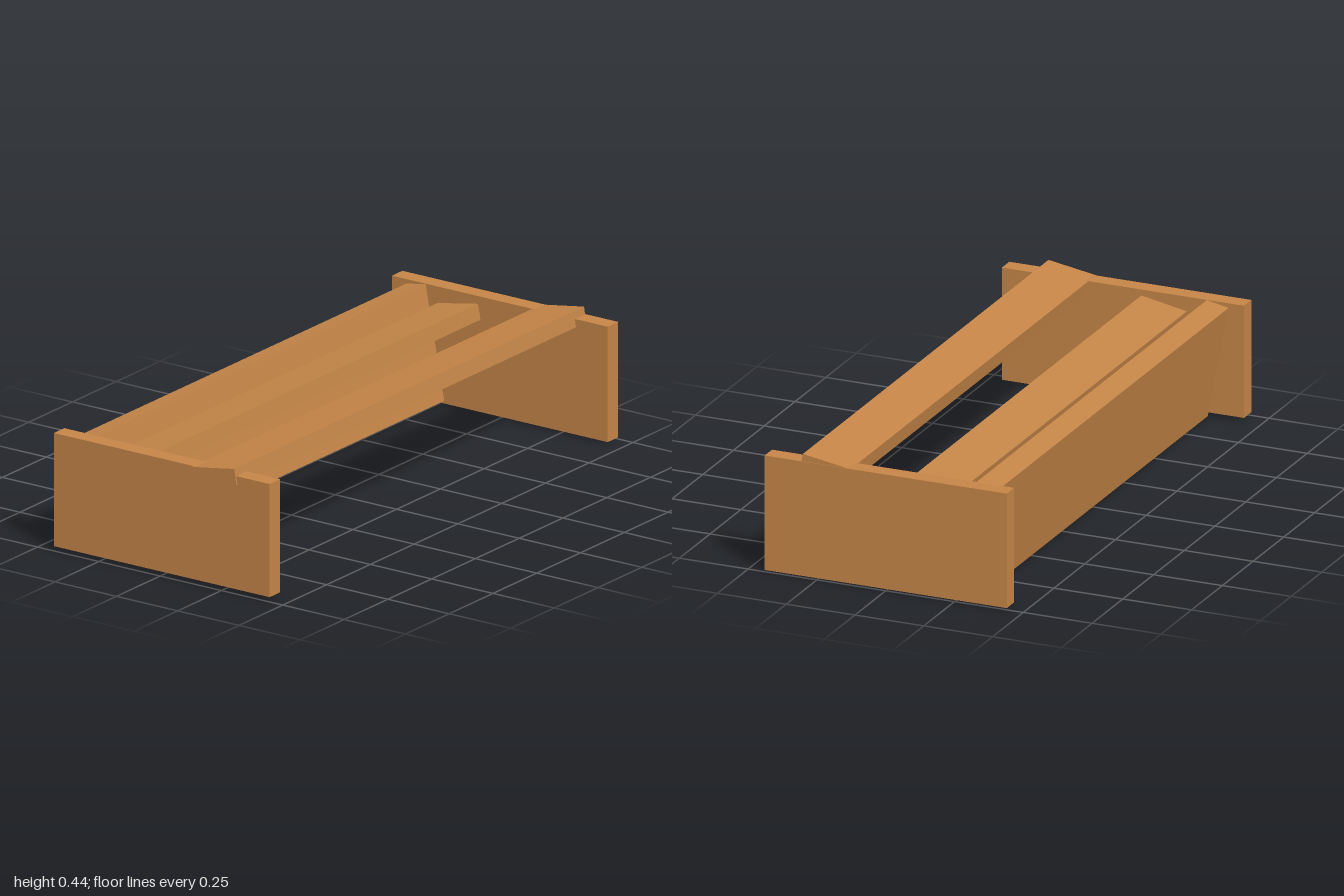
import * as THREE from 'three';

const wood = new THREE.MeshStandardMaterial({ color: 0xc68648, flatShading: true });

// A board with its centre, its size and a backward lean in radians
function board(name, [x, y, z], [w, h, d], lean = 0) {
  const mesh = new THREE.Mesh(new THREE.BoxGeometry(w, h, d), wood);
  mesh.name = name;
  mesh.position.set(x, y, z);
  mesh.rotation.x = -lean;
  return mesh;
}

export function createModel() {
  const group = new THREE.Group();
  group.name = 'bench';
  group.add(
    // upright side boards
    board('leftSide', [0.97, 0.209, 0], [0.06, 0.406, 0.88]),
    board('rightSide', [-0.964, 0.213, 0.002], [0.06, 0.398, 0.88]),
    // tilted slats
    board('frontSlat', [-0.001, 0.397, 0.22], [1.998, 0.055, 0.175], 0.16),
    board('seatSlat', [-0.004, 0.3535, -0.148], [1.836, 0.055, 0.168], 0.185),
    // tall leaning back panel between the sides
    board('backPanel', [0.003, 0.2055, -0.3043], [1.875, 0.403, 0.081], 0.19),
  );
  return group;
}
